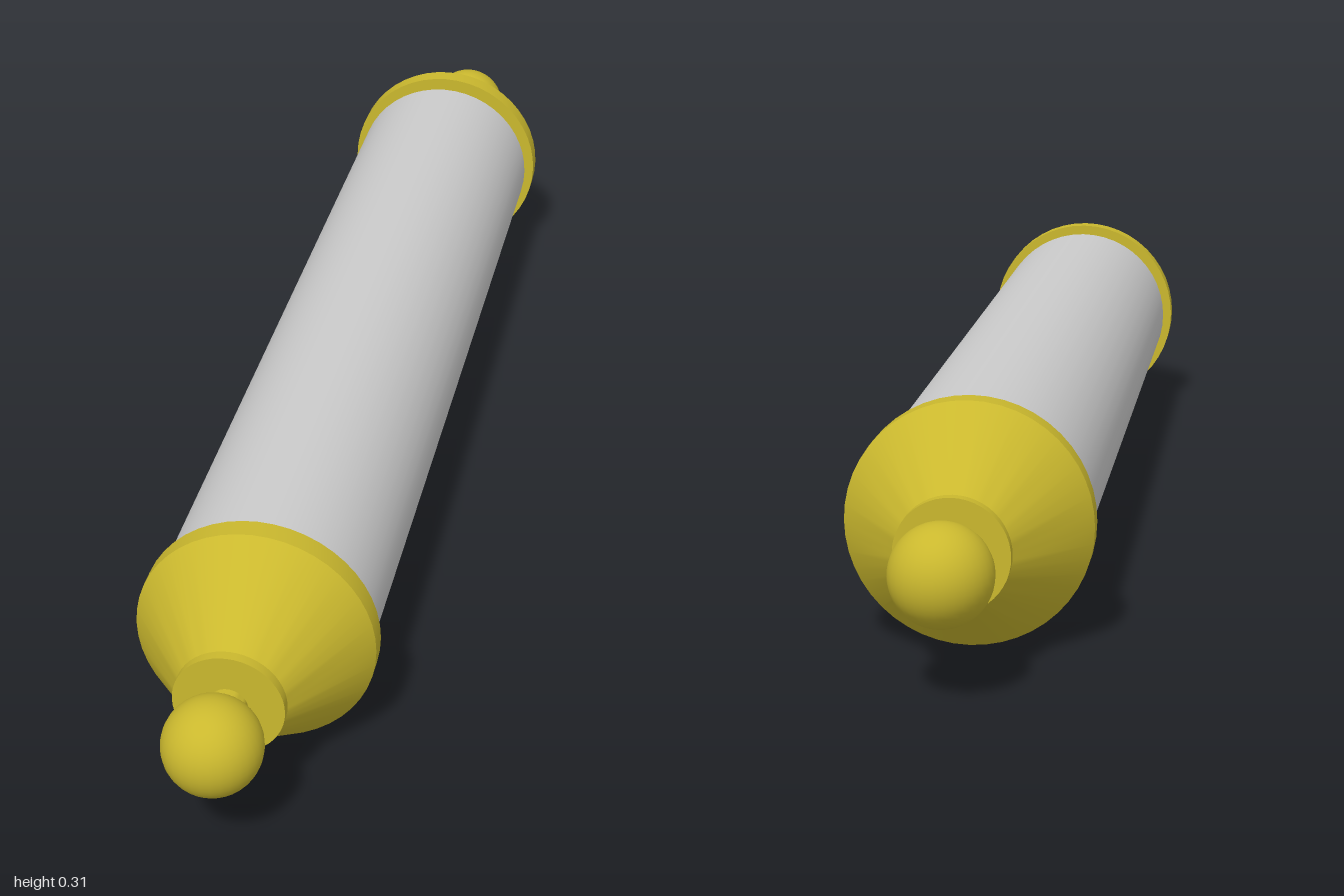
import * as THREE from 'three';
import { toCreasedNormals } from 'three/addons/utils/BufferGeometryUtils.js';

const AXIS_Y = 0.156;
const SEGMENTS = 48;

export function createModel() {
  const model = new THREE.Group();
  model.name = 'cylinderWithFinials';
  const grey = new THREE.MeshStandardMaterial({ color: 0xcccccc });
  const gold = new THREE.MeshStandardMaterial({ color: 0xcab82e });

  // Long plain cylinder lying along z
  const body = new THREE.Mesh(new THREE.CylinderGeometry(0.143, 0.143, 1.35, SEGMENTS), grey);
  body.name = 'body';
  body.rotation.x = Math.PI / 2;
  body.position.y = AXIS_Y;
  model.add(body);

  // Turned cap profile as [radius, distance along axis]: collar, flange, cone, disc, neck
  const profile = [
    [0, 0.67], [0.12, 0.67], [0.12, 0.69], [0.156, 0.69], [0.156, 0.72],
    [0.065, 0.847], [0.071, 0.847], [0.071, 0.861], [0.025, 0.861], [0.025, 0.89],
  ].map(([r, d]) => new THREE.Vector2(r, d));
  const capGeometry = toCreasedNormals(new THREE.LatheGeometry(profile, SEGMENTS), 0.4);
  capGeometry.rotateX(Math.PI / 2);
  const ballGeometry = new THREE.SphereGeometry(0.0625, 32, 24);

  // The same finial on both ends
  for (const [name, turn] of [['frontFinial', 0], ['backFinial', Math.PI]]) {
    const finial = new THREE.Group();
    finial.name = name;
    const cap = new THREE.Mesh(capGeometry, gold);
    cap.name = 'cap';
    const ball = new THREE.Mesh(ballGeometry, gold);
    ball.name = 'ball';
    ball.position.z = 0.9375;
    finial.add(cap, ball);
    finial.position.y = AXIS_Y;
    finial.rotation.y = turn;
    model.add(finial);
  }
  return model;
}
